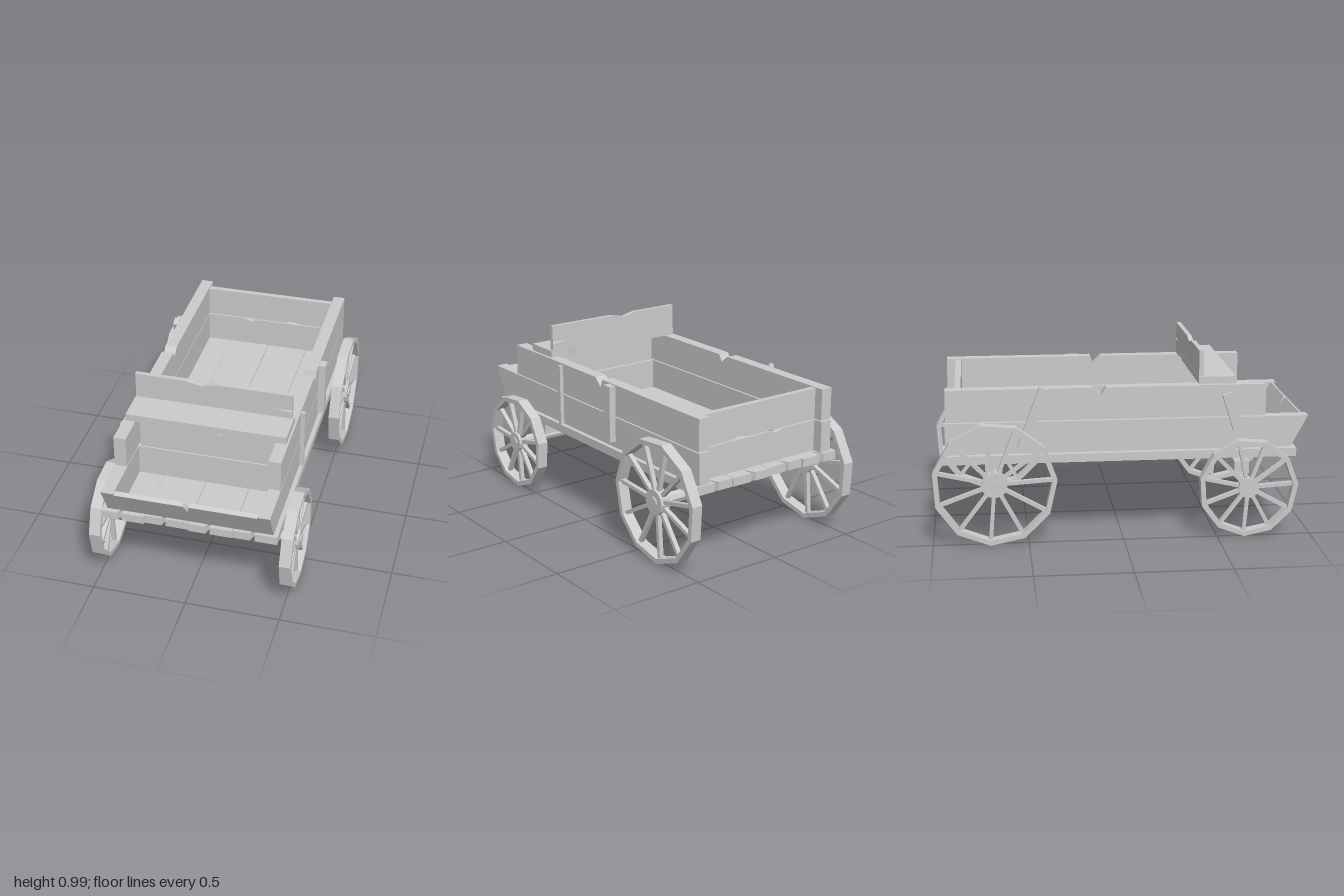
import * as THREE from 'three';

const mat = new THREE.MeshStandardMaterial({ color: 0xcccccc, flatShading: true });

function add(parent, name, geo, x = 0, y = 0, z = 0) {
  const m = new THREE.Mesh(geo, mat);
  m.name = name;
  m.position.set(x, y, z);
  parent.add(m);
  return m;
}

// Box given by its limits on each axis
function box(parent, name, [x0, x1], [y0, y1], [z0, z1]) {
  return add(parent, name, new THREE.BoxGeometry(x1 - x0, y1 - y0, z1 - z0),
    (x0 + x1) / 2, (y0 + y1) / 2, (z0 + z1) / 2);
}

// Square bar between two points
function bar(parent, name, a, b, w, h) {
  const p = new THREE.Vector3(...a), q = new THREE.Vector3(...b);
  const m = add(parent, name, new THREE.BoxGeometry(w, h, p.distanceTo(q)));
  m.position.copy(p).add(q).multiplyScalar(0.5);
  m.lookAt(q);
  return m;
}

// Plank outline with V-shaped splits: low / high are lists of [u, halfWidth, depth, lean]
function outline(u0, u1, v0, v1, low = [], high = [], slant = 0) {
  const pts = [[u0, v0]];
  for (const [u, w, d, lean = 0] of low) pts.push([u - w, v0], [u + lean, v0 + d], [u + w, v0]);
  pts.push([u1 - slant, v0], [u1, v1]);
  for (const [u, w, d, lean = 0] of high) pts.push([u + w, v1], [u + lean, v1 - d], [u - w, v1]);
  pts.push([u0, v1]);
  return new THREE.Shape(pts.map(p => new THREE.Vector2(...p)));
}
const slab = (shape, depth) => new THREE.ExtrudeGeometry(shape, { depth, bevelEnabled: false });
// Outline in z,y with thickness along x
const sidePlank = (g, name, shape, x0, x1) =>
  add(g, name, slab(shape, x1 - x0).rotateY(-Math.PI / 2), x1, 0, 0);
// Outline in x,z with thickness along y
const flatPlank = (g, name, shape, y0, y1) =>
  add(g, name, slab(shape, y1 - y0).rotateX(Math.PI / 2), 0, y1, 0);
// Outline in x,y with thickness along z
const crossPlank = (g, name, shape, z0, z1) => add(g, name, slab(shape, z1 - z0), 0, 0, z0);

function wheel(name, r, hubR) {
  const g = new THREE.Group();
  g.name = name;
  const n = 11, width = 0.06, tilt = -0.08;
  const ring = rad => Array.from({ length: n }, (_, i) => {
    const a = tilt + i * 2 * Math.PI / n;
    return new THREE.Vector2(Math.sin(a) * rad, -Math.cos(a) * rad);
  });
  const rim = new THREE.Shape(ring(r));
  rim.holes.push(new THREE.Path(ring(r - 0.026)));
  sidePlank(g, 'rim', rim, -width / 2, width / 2);
  add(g, 'hub', new THREE.CylinderGeometry(hubR, hubR, 0.055, 12).rotateZ(Math.PI / 2));
  const len = r - 0.02;
  for (let i = 0; i < n; i++) {
    const spoke = add(g, 'spoke', new THREE.BoxGeometry(0.024, len, 0.02).translate(0, -len / 2, 0));
    spoke.rotation.x = -(tilt + i * 2 * Math.PI / n);
  }
  return g;
}

export function createModel() {
  const wagon = new THREE.Group();
  wagon.name = 'wagon';

  // Wheels and axles
  for (const [end, r, y, z, hubR, axleR] of [
    ['front', 0.265, 0.275, 0.66, 0.055, 0.027],
    ['rear', 0.327, 0.33, -0.675, 0.068, 0.032]]) {
    for (const s of [-1, 1]) {
      const w = wheel(end + (s > 0 ? 'LeftWheel' : 'RightWheel'), r, hubR);
      w.position.set(s * 0.505, y, z);
      wagon.add(w);
    }
    add(wagon, end + 'Axle', new THREE.CylinderGeometry(axleR, axleR, 1.08, 8).rotateZ(Math.PI / 2), 0, y, z);
  }

  // Undercarriage: bolsters, centre beam and diagonal braces
  const under = new THREE.Group();
  under.name = 'undercarriage';
  wagon.add(under);
  box(under, 'frontBolster', [-0.33, 0.35], [0.295, 0.365], [0.62, 0.7]);
  box(under, 'rearBolster', [-0.33, 0.35], [0.34, 0.424], [-0.72, -0.63]);
  box(under, 'centreBeam', [-0.035, 0.05], [0.365, 0.424], [-0.64, 0.7]);
  for (const s of [-1, 1]) {
    bar(under, 'frontBrace', [s * 0.26, 0.38, 0.64], [0, 0.4, 0.22], 0.035, 0.025);
    bar(under, 'rearBrace', [s * 0.26, 0.39, -0.65], [0, 0.4, -0.24], 0.035, 0.025);
  }

  // Floor planks, split at the ends
  const deck = new THREE.Group();
  deck.name = 'floor';
  wagon.add(deck);
  [-0.46, -0.23, 0.002, 0.234].forEach((x, i) => {
    const split = x + 0.1;
    const trim = [0, 0.012, 0.004, 0.008][i];
    flatPlank(deck, 'floorPlank', outline(x, x + 0.229, -0.94 + trim, 0.925 - trim,
      [[split, 0.014, 0.075, 0.02]], [[split, 0.012, 0.07, 0.012]]), 0.425, 0.47);
  });

  // Side walls: long lower plank with raked front, shorter upper plank
  const walls = new THREE.Group();
  walls.name = 'walls';
  wagon.add(walls);
  for (const [name, x0, x1, split] of [
    ['left', 0.375, 0.44, [-0.07, 0.03, 0.045, -0.015]],
    ['right', -0.43, -0.365, [-0.12, 0.035, 0.04, 0.01]]]) {
    sidePlank(walls, name + 'LowerPlank', outline(-0.925, 0.99, 0.471, 0.639, [], [], 0.09), x0, x1);
    sidePlank(walls, name + 'UpperPlank', outline(-0.92, 0.76, 0.645, 0.815, [], [split]), x0, x1);
  }

  // Battens on the outside of the walls
  box(walls, 'leftBatten', [0.44, 0.477], [0.505, 0.81], [-0.22, -0.165]);
  box(walls, 'leftBatten', [0.44, 0.462], [0.47, 0.805], [0.275, 0.297]);
  bar(walls, 'rightBatten', [-0.443, 0.5, -0.53], [-0.443, 0.82, -0.41], 0.028, 0.05);
  bar(walls, 'rightBatten', [-0.443, 0.58, 0.61], [-0.443, 0.77, 0.55], 0.028, 0.05);

  // Tailgate and front wall
  crossPlank(walls, 'tailLowerPlank', outline(-0.366, 0.376, 0.471, 0.637, [], [[-0.1, 0.05, 0.015]]), -0.87, -0.838);
  crossPlank(walls, 'tailUpperPlank', outline(-0.366, 0.376, 0.643, 0.81, [[0.15, 0.06, 0.012]]), -0.87, -0.838);
  crossPlank(walls, 'frontLowerPlank', outline(-0.366, 0.376, 0.471, 0.638), 0.535, 0.565);
  crossPlank(walls, 'frontUpperPlank', outline(-0.352, 0.376, 0.645, 0.797, [], [[0.08, 0.07, 0.012]]), 0.535, 0.565);

  // Raked footboard
  const foot = crossPlank(walls, 'footboard',
    outline(-0.364, 0.374, 0, 0.186, [], [[0.01, 0.015, 0.055, 0.004]]), 0, 0.025);
  foot.position.set(0, 0.473, 0.872);
  foot.rotation.x = 0.49;

  // Seat and backrest
  const seat = new THREE.Group();
  seat.name = 'seat';
  wagon.add(seat);
  flatPlank(seat, 'seatBoard', outline(-0.415, 0.43, 0.405, 0.602, [[0.26, 0.06, 0.014]]), 0.818, 0.856);
  const back = outline(-0.412, 0.42, 0.857, 0.995, [], [[-0.06, 0.08, 0.018]]);
  // Split in the end of the backrest
  const crack = [[0.419, 0.894], [0.419, 0.906], [0.305, 0.905]].map(p => new THREE.Vector2(...p));
  back.holes.push(new THREE.Path(crack));
  crossPlank(seat, 'backrest', back, 0.405, 0.43);

  return wagon;
}
